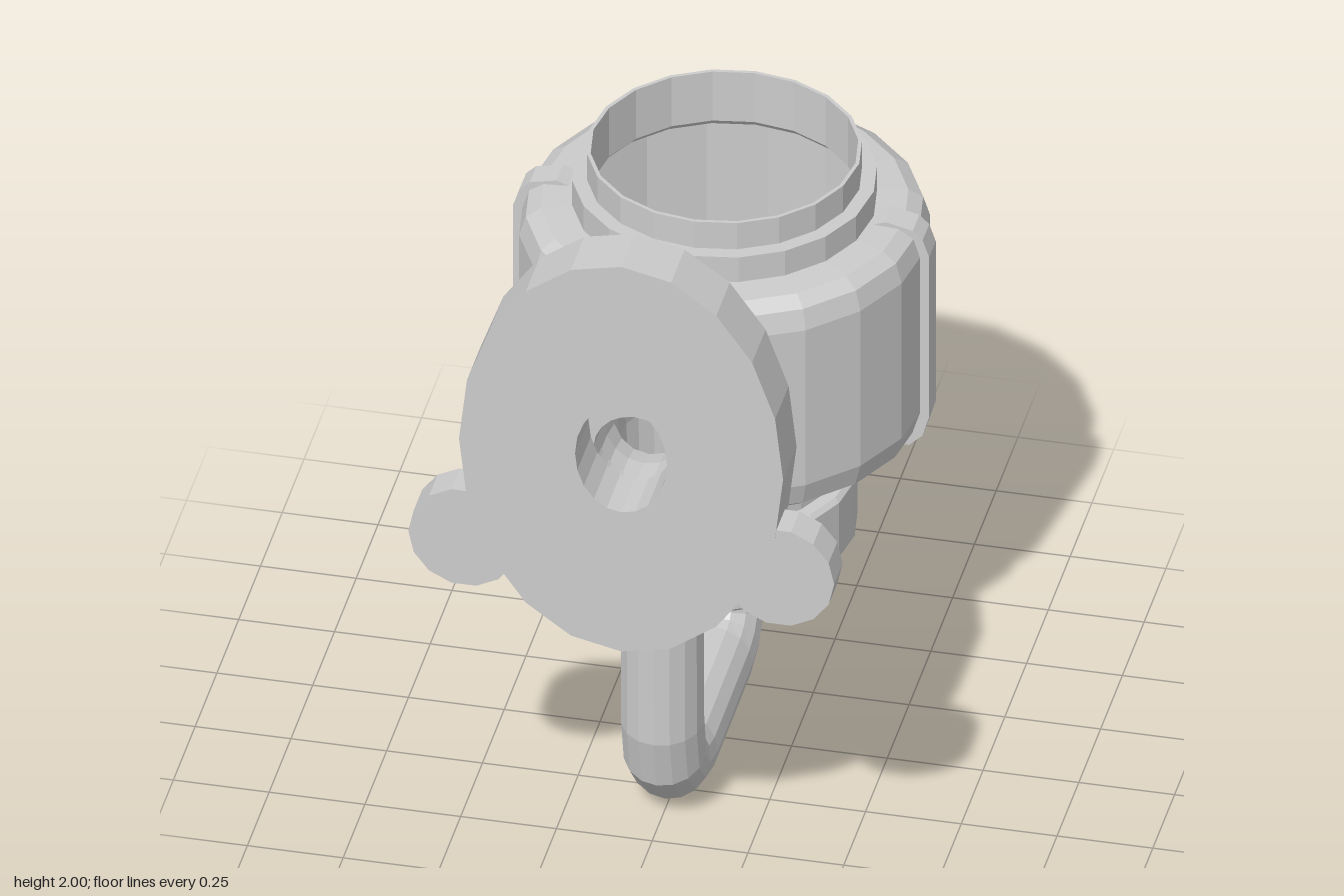
import * as THREE from 'three';

const SIDES = 20;
const LAMP_Z = -0.33;
const mat = new THREE.MeshStandardMaterial({ color: 0xcccccc, flatShading: true, side: THREE.DoubleSide });

function add(parent, name, geometry, x = 0, y = 0, z = 0) {
  const mesh = new THREE.Mesh(geometry, mat);
  mesh.name = name;
  mesh.position.set(x, y, z);
  parent.add(mesh);
  return mesh;
}

// Turned part from [radius, y] pairs, listed bottom to top on the outside
const turned = (profile) =>
  new THREE.LatheGeometry(profile.map(([r, y]) => new THREE.Vector2(r, y)), SIDES);

// Solid drum with small chamfers on both rims
const drum = (r, y0, y1, c = 0.012) =>
  turned([[0, y0], [r - c, y0], [r, y0 + c], [r, y1 - c], [r - c, y1], [0, y1]]);

// Elliptical slab, optionally with an elliptical hole
function slab(rx, ry, depth, hole, sides = SIDES) {
  const shape = new THREE.Shape().absellipse(0, 0, rx, ry, 0, Math.PI * 2);
  if (hole) shape.holes.push(new THREE.Path().absellipse(0, 0, hole[0], hole[1], 0, Math.PI * 2));
  return new THREE.ExtrudeGeometry(shape, { depth, bevelEnabled: false, curveSegments: sides / 2 });
}

// Round pipe in the x = 0 plane, with a mitred ring at each [z, y] point
function pipe(path, radius, sides) {
  const pts = path.map(([z, y]) => new THREE.Vector2(z, y));
  const positions = [], index = [];
  pts.forEach((p, i) => {
    const dirIn = pts[Math.max(i, 1)].clone().sub(pts[Math.max(i, 1) - 1]).normalize();
    const j = Math.min(i, pts.length - 2);
    const dirOut = pts[j + 1].clone().sub(pts[j]).normalize();
    const dir = dirIn.add(dirOut).normalize();
    for (let k = 0; k < sides; k++) {
      const a = (k / sides) * Math.PI * 2;
      const n = Math.sin(a) * radius;
      positions.push(Math.cos(a) * radius, p.y + dir.x * n, p.x - dir.y * n);
      if (i === 0) continue;
      const k2 = (k + 1) % sides;
      const a0 = (i - 1) * sides + k, a1 = (i - 1) * sides + k2;
      const b0 = i * sides + k, b1 = i * sides + k2;
      index.push(a0, a1, b0, a1, b1, b0);
    }
  });
  const g = new THREE.BufferGeometry();
  g.setAttribute('position', new THREE.Float32BufferAttribute(positions, 3));
  g.setIndex(index);
  g.computeVertexNormals();
  return g;
}

export function createModel() {
  const model = new THREE.Group();
  model.name = 'wallLamp';

  // Wall mount: oval plate, round flange and two ears
  const mount = new THREE.Group();
  mount.name = 'wallMount';
  model.add(mount);
  add(mount, 'wallPlate', slab(0.423, 0.59, 0.155, [0.12, 0.163]), 0, 1.41, 0.703);
  add(mount, 'flange', slab(0.25, 0.25, 0.053, [0.107, 0.107]), 0, 1.33, 0.65);
  for (const s of [1, -1]) {
    add(mount, s > 0 ? 'leftEar' : 'rightEar', slab(0.145, 0.147, 0.098, null, 14), s * 0.411, 1.107, 0.758);
  }

  // Bent arm from the flange, down and under to the lamp
  const armPath = [
    [0.69, 1.33], [0.58, 1.33], [0.48, 1.305], [0.43, 1.255], [0.4, 1.17], [0.388, 1.0],
    [0.38, 0.3], [0.355, 0.19], [0.3, 0.13], [0.22, 0.11],
    [-0.19, 0.115], [-0.26, 0.135], [-0.31, 0.185], [-0.33, 0.26], [-0.33, 0.32],
  ];
  add(model, 'arm', pipe(armPath, 0.107, 16));

  // Lamp head, stacked along its own vertical axis
  const lamp = new THREE.Group();
  lamp.name = 'lampHead';
  lamp.position.z = LAMP_Z;
  model.add(lamp);
  add(lamp, 'collar', drum(0.135, 0.275, 0.36));
  add(lamp, 'lowerRing', drum(0.28, 0.345, 0.45));
  add(lamp, 'wideRing', drum(0.34, 0.435, 0.625));
  add(lamp, 'neck', drum(0.295, 0.61, 0.75, 0.002));
  add(lamp, 'upperNeck', drum(0.27, 0.74, 0.81, 0.002));

  // Hollow housing with a stepped, open top
  add(lamp, 'housing', turned([
    [0, 0.787], [0.475, 0.787], [0.505, 0.81], [0.525, 0.875],
    [0.525, 1.35], [0.508, 1.405], [0.47, 1.43], [0.39, 1.435],
    [0.39, 1.51], [0.352, 1.51], [0.352, 1.59], [0.342, 1.59],
    [0.342, 1.44], [0.36, 1.42], [0.46, 1.41], [0.5, 1.34], [0.5, 0.88], [0.46, 0.815], [0, 0.815],
  ]));

  // Bulb inside the housing
  add(lamp, 'socket', drum(0.1, 0.81, 0.93));
  add(lamp, 'bulb', new THREE.SphereGeometry(0.15, 16, 10), 0, 1.05, 0);

  // Strap on each side, following the housing down to the neck
  const outline = [
    [0.385, 1.43], [0.43, 1.446], [0.5, 1.43], [0.526, 1.405], [0.543, 1.355],
    [0.543, 0.865], [0.525, 0.805], [0.49, 0.772], [0.307, 0.772], [0.307, 0.62],
    [0.28, 0.62], [0.28, 0.795], [0.475, 0.795], [0.515, 0.875], [0.515, 1.35], [0.47, 1.42],
  ];
  for (const s of [1, -1]) {
    const shape = new THREE.Shape(outline.map(([x, y]) => new THREE.Vector2(s * x, y)));
    const strap = new THREE.ExtrudeGeometry(shape, { depth: 0.076, bevelEnabled: false });
    add(lamp, s > 0 ? 'leftStrap' : 'rightStrap', strap, 0, 0, -0.038);
  }

  return model;
}
